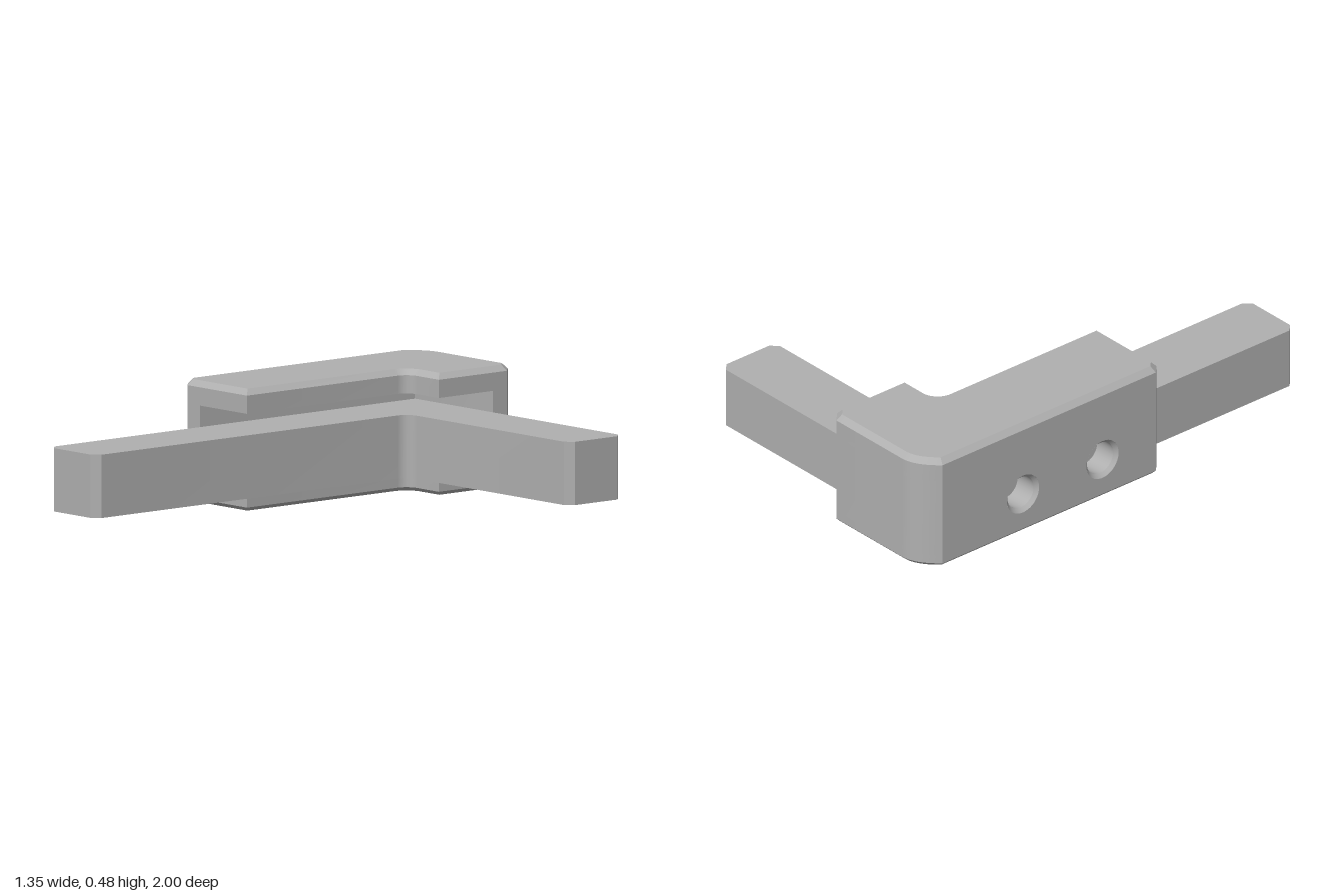
import * as THREE from 'three';
import { toCreasedNormals } from 'three/addons/utils/BufferGeometryUtils.js';

const grey = new THREE.MeshStandardMaterial({ color: 0xb0b0b0, side: THREE.DoubleSide });
grey.name = 'grey metal';

// Plan outlines are counter-clockwise in (x, -z).
function plan(draw) {
  const s = new THREE.Shape();
  draw(s);
  return s.getPoints(10).filter((p, i, a) => i === 0 || p.distanceTo(a[i - 1]) > 1e-5);
}

// Moves every outline edge inward by d, with mitred corners
function inset(pts, d) {
  const n = pts.length;
  const normal = (a, b) => new THREE.Vector2(a.y - b.y, b.x - a.x).normalize();
  return pts.map((p, i) => {
    const n1 = normal(pts[(i + n - 1) % n], p);
    const n2 = normal(p, pts[(i + 1) % n]);
    return n1.clone().add(n2).multiplyScalar(d / (1 + n1.dot(n2))).add(p);
  });
}

// Closed solid through outline levels [height, inset]
function prism(name, pts, levels) {
  const v = [];
  const put = (p, y) => v.push(p.x, y, -p.y);
  const loops = levels.map(([, d]) => inset(pts, d));
  for (let k = 0; k + 1 < levels.length; k++) {
    const [a, b, ya, yb] = [loops[k], loops[k + 1], levels[k][0], levels[k + 1][0]];
    for (let i = 0; i < pts.length; i++) {
      const j = (i + 1) % pts.length;
      put(a[i], ya); put(a[j], ya); put(b[j], yb);
      put(a[i], ya); put(b[j], yb); put(b[i], yb);
    }
  }
  const last = levels.length - 1;
  for (const [a, b, c] of THREE.ShapeUtils.triangulateShape(loops[last], [])) {
    for (const i of [a, b, c]) put(loops[last][i], levels[last][0]);
  }
  for (const [a, b, c] of THREE.ShapeUtils.triangulateShape(loops[0], [])) {
    for (const i of [a, c, b]) put(loops[0][i], levels[0][0]);
  }
  const g = new THREE.BufferGeometry();
  g.setAttribute('position', new THREE.Float32BufferAttribute(v, 3));
  return mesh(name, toCreasedNormals(g, 0.4));
}

function mesh(name, geometry) {
  const m = new THREE.Mesh(geometry, grey);
  m.name = name;
  return m;
}

export function createModel() {
  const group = new THREE.Group();
  group.name = 'cornerClamp';

  // Rounded outer corner and inner fillet shared by several outlines
  const outerCorner = s => s.lineTo(-0.1, 0.96).lineTo(-0.14, 1).lineTo(-0.53, 1)
    .quadraticCurveTo(-0.605, 1, -0.675, 0.915);
  const innerFillet = s => {
    s.lineTo(-0.285, 0.555);
    s.absarc(-0.23, 0.555, 0.055, Math.PI, Math.PI / 2, true);
  };

  // Housing: chamfered cap and base plates
  const housing = plan(s => {
    s.moveTo(-0.64, -0.22).lineTo(-0.285, -0.22);
    innerFillet(s);
    s.lineTo(-0.1, 0.61);
    outerCorner(s);
    s.lineTo(-0.675, -0.185);
  });
  group.add(prism('capPlate', housing, [[0.385, 0], [0.457, 0], [0.48, 0.022]]));
  group.add(prism('basePlate', housing, [[0, 0.015], [0.015, 0], [0.05, 0]]));

  // Back wall and chamfered front end of the side wall
  const backWall = plan(s => {
    s.moveTo(-0.565, 0.89).lineTo(-0.1, 0.89);
    outerCorner(s);
  });
  const frontEnd = plan(s => s.moveTo(-0.675, -0.185).lineTo(-0.64, -0.22)
    .lineTo(-0.565, -0.22).lineTo(-0.565, -0.185));
  group.add(prism('backWall', backWall, [[0.05, 0], [0.385, 0]]));
  group.add(prism('sideWallEnd', frontEnd, [[0.05, 0], [0.385, 0]]));

  // Side wall with two countersunk screw holes
  const side = new THREE.Shape();
  side.moveTo(-0.915, 0.05).lineTo(0.185, 0.05).lineTo(0.185, 0.385).lineTo(-0.915, 0.385);
  for (const z of [-0.5, -0.09]) {
    side.holes.push(new THREE.Path().absarc(z, 0.17, 0.083, 0, Math.PI * 2, true));
    const profile = [[0.083, 0.11], [0.068, 0.095], [0.068, 0]].map(p => new THREE.Vector2(...p));
    const sleeve = mesh('screwHole', toCreasedNormals(new THREE.LatheGeometry(profile, 32), 0.5));
    sleeve.rotation.z = Math.PI / 2;
    sleeve.position.set(-0.565, 0.17, z);
    group.add(sleeve);
  }
  const wall = new THREE.ExtrudeGeometry(side, { depth: 0.11, bevelEnabled: false, curveSegments: 32 });
  wall.rotateY(-Math.PI / 2).translate(-0.565, 0, 0);
  group.add(mesh('sideWall', wall));

  // L-shaped bar held in the slot, with chamfered ends
  const bar = plan(s => {
    s.moveTo(-0.565, -0.97).lineTo(-0.535, -1).lineTo(-0.315, -1).lineTo(-0.285, -0.97);
    innerFillet(s);
    s.lineTo(0.645, 0.61).lineTo(0.675, 0.64).lineTo(0.675, 0.86).lineTo(0.645, 0.89);
    s.lineTo(-0.565, 0.89);
  });
  group.add(prism('cornerBar', bar, [[0.05, 0], [0.3, 0]]));

  return group;
}
